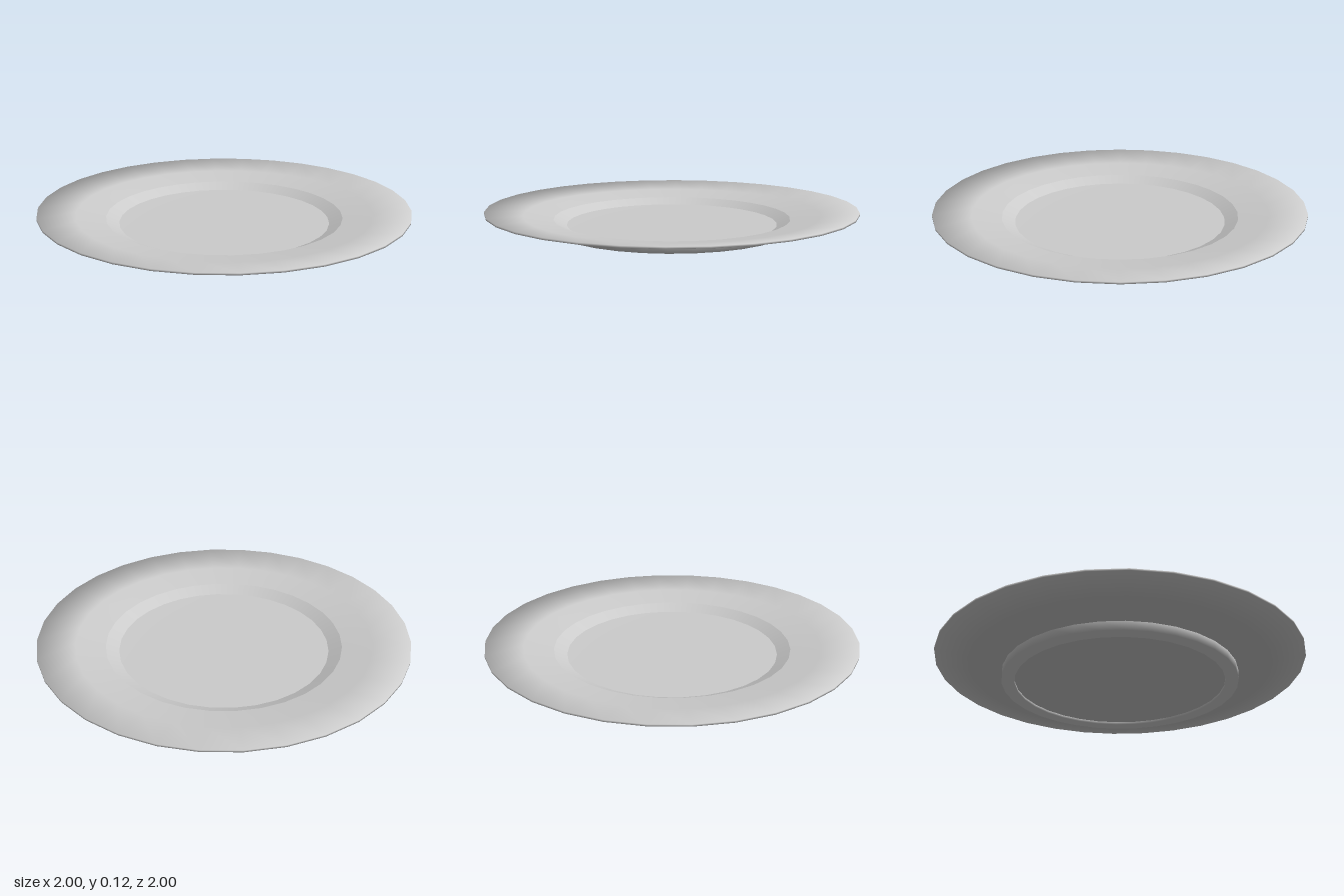
import * as THREE from 'three';

const SIDES = 32;

// Revolve a [radius, height] profile, softening each corner evenly between its two faces.
function turned(name, profile, material) {
  const points = profile.map(([r, y]) => new THREE.Vector2(r, y));
  const geometry = new THREE.LatheGeometry(points, SIDES);
  const faceNormals = points.slice(1).map((p, i) => {
    const d = p.clone().sub(points[i]).normalize();
    return new THREE.Vector2(d.y, -d.x);
  });
  const normals = points.map((p, i) => {
    const n = new THREE.Vector2();
    if (i > 0) n.add(faceNormals[i - 1]);
    if (i < faceNormals.length) n.add(faceNormals[i]);
    return n.normalize();
  });
  const attribute = geometry.attributes.normal;
  for (let i = 0; i < attribute.count; i++) {
    const a = Math.floor(i / points.length) / SIDES * Math.PI * 2;
    const n = normals[i % points.length];
    attribute.setXYZ(i, n.x * Math.sin(a), n.y, n.x * Math.cos(a));
  }
  const mesh = new THREE.Mesh(geometry, material);
  mesh.name = name;
  return mesh;
}

export function createModel() {
  const ceramic = new THREE.MeshStandardMaterial({ color: 0xcccccc });
  ceramic.name = 'pale grey ceramic';

  const plate = new THREE.Group();
  plate.name = 'plate';
  plate.add(
    // Raised ring the plate stands on
    turned('footRing', [[0.57, 0.015], [0.57, 0], [0.64, 0], [0.64, 0.05]], ceramic),
    // Recessed underside within the ring
    turned('baseUnderside', [[0, 0.015], [0.57, 0.015]], ceramic),
    // Wide sloping border with its thin edge
    turned('rim', [[0.64, 0.05], [0.82, 0.078], [1, 0.105], [1, 0.115], [0.8, 0.086], [0.64, 0.06]], ceramic),
    // Step down from the border to the floor
    turned('well', [[0.64, 0.06], [0.57, 0.027]], ceramic),
    // Nearly flat eating surface
    turned('floor', [[0.57, 0.027], [0.4, 0.025], [0, 0.025]], ceramic),
  );
  return plate;
}
